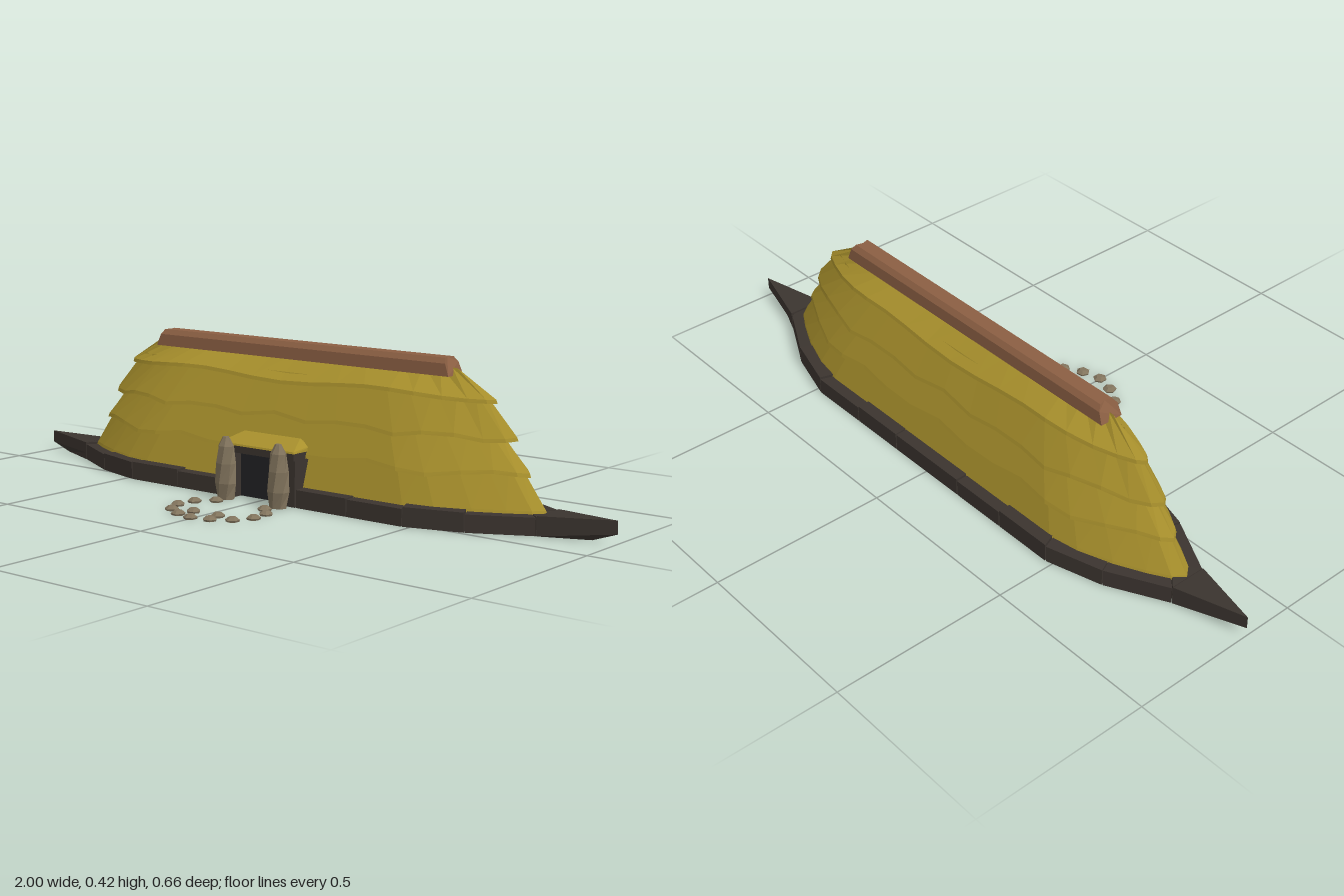
import * as THREE from 'three';

const mat = (name, color) => new THREE.MeshStandardMaterial({ name, color, flatShading: true, side: THREE.DoubleSide });

// Skin closed rings (bottom to top, counterclockwise from above), with optional end caps
function loft(rings, caps = true) {
  const pos = [];
  const tri = (...pts) => pts.forEach(p => pos.push(...p));
  const n = rings[0].length;
  for (let k = 0; k < rings.length - 1; k++) {
    for (let i = 0; i < n; i++) {
      const j = (i + 1) % n, r = rings[k], u = rings[k + 1];
      tri(r[i], r[j], u[j]);
      tri(r[i], u[j], u[i]);
    }
  }
  if (caps) {
    const b = rings[0], t = rings[rings.length - 1];
    for (let i = 1; i < n - 1; i++) {
      tri(b[0], b[i + 1], b[i]);
      tri(t[0], t[i], t[i + 1]);
    }
  }
  const g = new THREE.BufferGeometry();
  g.setAttribute('position', new THREE.Float32BufferAttribute(pos, 3));
  g.computeVertexNormals();
  return g;
}

// Pointed, boat-shaped plan of the thatch: [lengthwise, half width]
const HALF = [[0.97, 0.2], [0.9, 0.42], [0.8, 0.68], [0.68, 0.9], [0.57, 1], [0.44, 1], [0.3, 1], [0.16, 1]];
const SIDE = [...HALF, [0, 1], ...HALF.map(([s, f]) => [-s, f]).reverse()];
const PLAN = [[1, 0], ...SIDE.map(([s, f]) => [s, -f]), [-1, 0], ...SIDE.map(([s, f]) => [-s, f])];

function thatchRing(X, W, y, amp = 0, freq = 0) {
  return PLAN.map(([s, f]) => {
    const wave = Math.cos(s * X * freq);
    return [X * s, y + amp * wave, f * (W - amp * 0.4 * wave)];
  });
}

export function createModel() {
  const model = new THREE.Group();
  model.name = 'thatchedLonghouse';
  const house = new THREE.Group();
  house.name = 'house';
  house.position.z = -0.148;
  model.add(house);

  const thatch = mat('thatch', 0xa8902c);
  const ridgeWood = mat('ridge wood', 0x8b5f43);
  const darkWood = mat('dark wood', 0x3b342f);
  const stone = mat('stone', 0x82745d);
  const shadowBlack = mat('interior black', 0x222224);

  const add = (parent, name, geo, material) => {
    const m = new THREE.Mesh(geo, material);
    m.name = name;
    parent.add(m);
    return m;
  };
  const box = (parent, name, material, x0, x1, y0, y1, z0, z1) => {
    const m = add(parent, name, new THREE.BoxGeometry(x1 - x0, y1 - y0, z1 - z0), material);
    m.position.set((x0 + x1) / 2, (y0 + y1) / 2, (z0 + z1) / 2);
    return m;
  };

  // Thatch layers: hem length, width, height, then top length, width, height, then wave
  const layers = [
    [0.8, 0.15, 0.046, 0.72, 0.115, 0.16, 0, 0],
    [0.75, 0.14, 0.135, 0.65, 0.094, 0.25, 0.009, 19],
    [0.71, 0.12, 0.226, 0.6, 0.066, 0.345, 0.008, 24],
    [0.645, 0.09, 0.322, 0.52, 0.001, 0.395, -0.008, 10],
  ];
  layers.forEach(([X, W, y, X2, W2, y2, amp, freq], i) => {
    const rings = [
      thatchRing(X - 0.035, W - 0.03, y + 0.006, amp, freq),
      thatchRing(X, W, y, amp, freq),
      thatchRing(X - 0.004, W - 0.003, y + 0.01, amp, freq),
      thatchRing(X2, W2, y2),
    ];
    add(house, 'thatchLayer' + (i + 1), loft(rings, false), thatch);
  });

  // Foundation blocks around the plan, leaving the doorway open at the front
  const xs = [0.8, 0.64, 0.48, 0.3, 0.13];
  const outZ = [0.053, 0.137, 0.183, 0.183, 0.183];
  const inX = [0.76, 0.62, 0.46, 0.3, 0.13];
  const inZ = [0.015, 0.09, 0.13, 0.13, 0.13];
  const loop = (px, pz) => {
    const side = [...px.map((x, i) => [x, -pz[i]]), ...px.map((x, i) => [-x, -pz[i]]).reverse()];
    return [...side, ...side.map(([x, z]) => [-x, -z])];
  };
  const outer = loop(xs, outZ), inner = loop(inX, inZ);
  const mix = (a, b, t) => [a[0] + (b[0] - a[0]) * t, a[1] + (b[1] - a[1]) * t];
  for (let i = 0; i < outer.length; i++) {
    if (i === 14) continue;
    const j = (i + 1) % outer.length;
    const g = 0.008;
    const foot = [mix(inner[i], inner[j], g), mix(outer[i], outer[j], g), mix(outer[j], outer[i], g), mix(inner[j], inner[i], g)];
    const top = 0.051 + 0.003 * Math.sin(i * 2.3);
    add(house, 'foundationBlock', loft([
      foot.map(([x, z]) => [x, 0, z]),
      foot.map(([x, z], k) => [x, top - (k === 1 || k === 2 ? 0.002 : 0), z]),
    ]), darkWood);
  }

  // Pointed prow at each end
  for (const turn of [0, Math.PI]) {
    const layer = (tipX, y, tipY) => [[0.802, y, 0.053], [tipX, tipY, 0], [0.802, y, -0.053]];
    const prow = add(house, 'prow', loft([layer(0.93, 0, 0), layer(1, 0.02, 0.025), layer(1, 0.052, 0.06)]), darkWood);
    prow.rotation.y = turn;
  }

  // Dark floor inside the foundation
  const floorRing = y => inner.map(([x, z]) => [x * 1.01, y, z * 1.05]);
  add(house, 'floor', loft([floorRing(0.004), floorRing(0.01)]), shadowBlack);

  // Ridge beam with chamfered top and notched, sloping ends
  const beamShape = new THREE.Shape([
    [-0.034, 0.375], [0.034, 0.375], [0.031, 0.408], [0.02, 0.422], [0, 0.422], [-0.02, 0.422], [-0.031, 0.408],
  ].map(p => new THREE.Vector2(...p)));
  const beam = new THREE.ExtrudeGeometry(beamShape, { depth: 1.03, bevelEnabled: false });
  beam.translate(0, 0, -0.515).rotateY(Math.PI / 2);
  const bp = beam.attributes.position;
  for (let i = 0; i < bp.count; i++) {
    const cut = (bp.getY(i) - 0.375) * 0.35 + (0.034 - Math.abs(bp.getZ(i))) * 0.3;
    bp.setX(i, bp.getX(i) - Math.sign(bp.getX(i)) * cut);
  }
  beam.computeVertexNormals();
  add(house, 'ridgeBeam', beam, ridgeWood);

  // Porch: door, posts, lintel and a small thatched roof
  box(model, 'doorway', shadowBlack, -0.09, 0.09, 0, 0.13, -0.03, 0.005);
  for (const s of [-1, 1]) {
    const post = box(model, 'doorPost', darkWood, -0.02, 0.02, 0, 0.13, -0.04, 0.036);
    post.position.x = s * 0.108;
  }
  box(model, 'lintel', darkWood, -0.13, 0.13, 0.128, 0.15, -0.06, 0.044);
  const rect = (w, z0, z1, y0, y1) => [[-w, y1, z1], [w, y1, z1], [w, y0, z0], [-w, y0, z0]];
  add(model, 'porchRoof', loft([
    rect(0.132, -0.08, 0.046, 0.148, 0.148),
    rect(0.13, -0.07, 0.044, 0.165, 0.153),
    rect(0.1, -0.06, -0.02, 0.184, 0.177),
  ]), thatch);

  // Standing stones beside the door
  for (const s of [-1, 1]) {
    const profile = [[0.78, 0], [1, 0.045], [0.92, 0.1], [0.72, 0.148], [0.28, 0.174]];
    const rings = profile.map(([r, y], k) => Array.from({ length: 7 }, (_, i) => {
      const a = i / 7 * Math.PI * 2 + k * 0.25 + s;
      return [0.033 * r * Math.cos(a), y, -0.027 * r * Math.sin(a)];
    }));
    add(model, 'standingStone', loft(rings), stone).position.set(s * 0.093, 0, 0.063);
  }

  // Ring of small stones in front
  const spots = [[0.086, 0.112], [0.127, 0.155], [0.134, 0.214], [0.107, 0.267], [0.056, 0.298], [0.043, 0.252], [0, 0.312]];
  const pebble = new THREE.CylinderGeometry(0.01, 0.02, 0.008, 6).translate(0, 0.009, 0);
  const pebbleFoot = new THREE.CylinderGeometry(0.02, 0.018, 0.005, 6).translate(0, 0.0025, 0);
  spots.forEach(([x, z], i) => {
    for (const s of x ? [-1, 1] : [1]) {
      const p = new THREE.Group();
      p.name = 'ringStone';
      add(p, 'stoneTop', pebble, stone);
      add(p, 'stoneFoot', pebbleFoot, stone);
      p.position.set(s * x, 0, z);
      p.rotation.y = i * 0.7 * s;
      model.add(p);
    }
  });
  return model;
}
